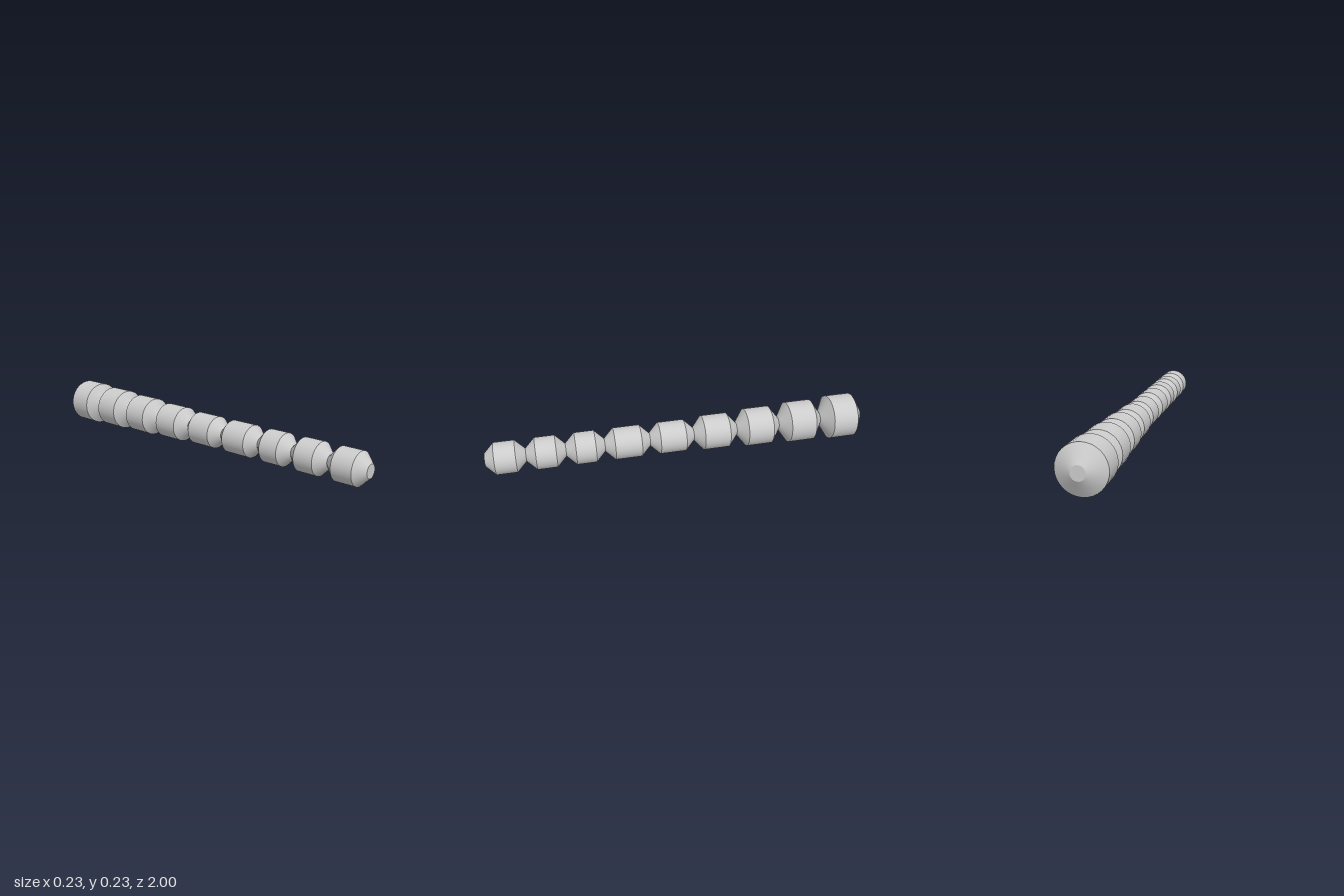
import * as THREE from 'three';
import { mergeGeometries } from 'three/addons/utils/BufferGeometryUtils.js';

const SIDES = 32;
const NECK = 0.034;
const AXIS_Y = 0.1165;

// One tapered ring of the rod, running along z from z0 to z1
function ring(z0, z1, r0, r1) {
  const g = new THREE.CylinderGeometry(r1, r0, z1 - z0, SIDES, 1, true);
  g.rotateX(Math.PI / 2);
  return g.translate(0, 0, (z0 + z1) / 2);
}

// Flat disc closing an end of the rod
function endDisc(z, dir) {
  const g = new THREE.CircleGeometry(NECK, SIDES);
  if (dir < 0) g.rotateY(Math.PI);
  return g.translate(0, 0, z);
}

export function createModel() {
  const model = new THREE.Group();
  model.name = 'beadedRod';
  const material = new THREE.MeshStandardMaterial({ color: 0xcccccc });

  // Bead limits along z (back to front) and bead radii
  const necks = [-1, -0.77, -0.536, -0.303, -0.07, 0.163, 0.398, 0.597, 0.797, 1];
  const radii = [0.1165, 0.108, 0.1, 0.091, 0.083, 0.083, 0.083, 0.083, 0.083];
  const bevel = 0.049;

  radii.forEach((r, i) => {
    const z0 = necks[i], z1 = necks[i + 1];
    const a = z0 + bevel, b = z1 - bevel;

    // Cone, straight barrel, cone
    const parts = [ring(z0, a, NECK, r), ring(a, b, r, r), ring(b, z1, r, NECK)];
    if (i === 0) parts.push(endDisc(z0, -1));
    if (i === radii.length - 1) parts.push(endDisc(z1, 1));

    const bead = new THREE.Mesh(mergeGeometries(parts), material);
    bead.name = `bead${i + 1}`;
    bead.position.y = AXIS_Y;
    model.add(bead);
  });

  return model;
}
